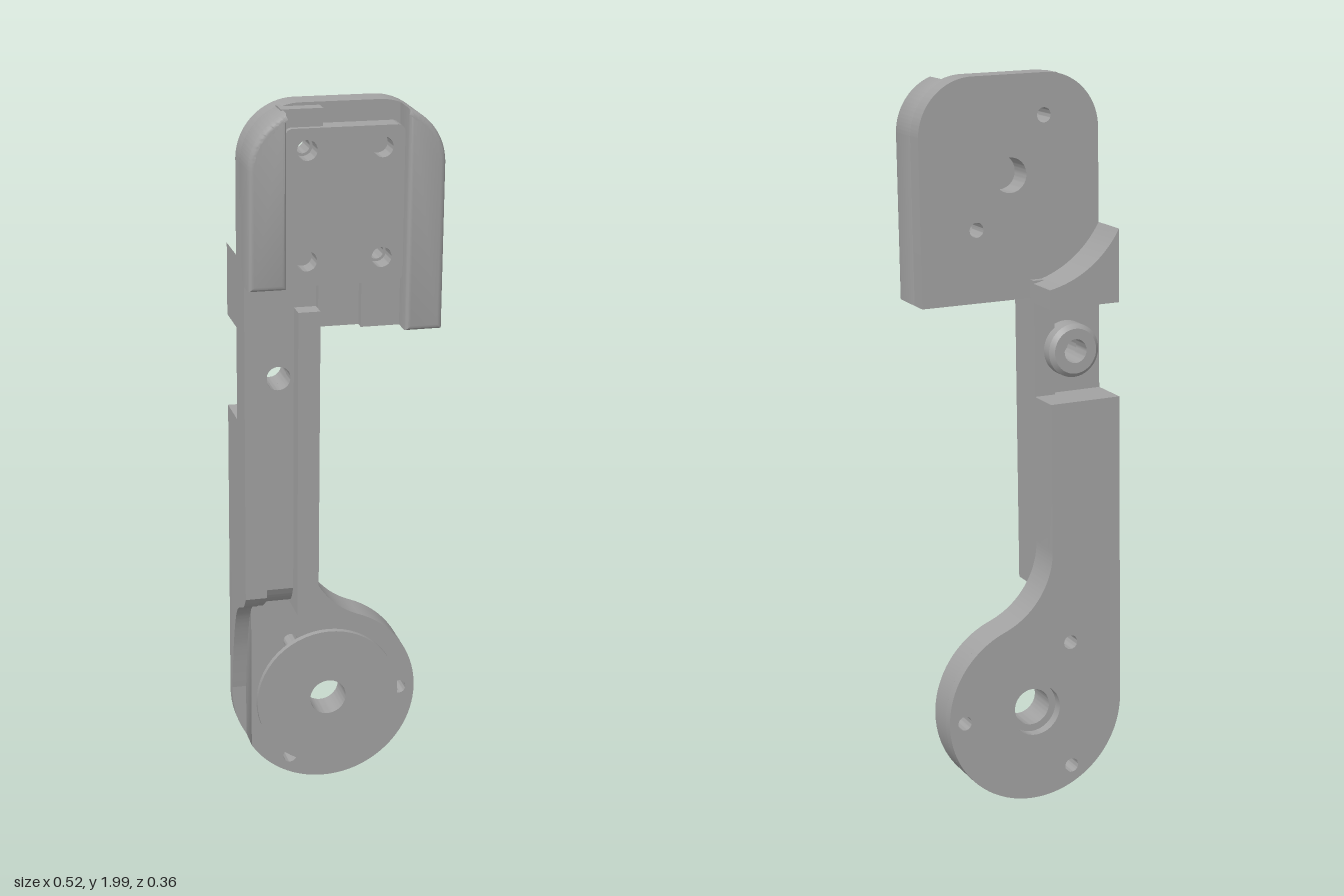
import * as THREE from 'three';
import { toCreasedNormals } from 'three/addons/utils/BufferGeometryUtils.js';

export function createModel() {
  const model = new THREE.Group();
  model.name = 'jointBracket';
  const body = new THREE.Group();
  body.name = 'tiltedBody';
  const grey = new THREE.MeshStandardMaterial({ color: 0xa2a2a2 });
  grey.name = 'plainGrey';

  const add = (name, geometry) => {
    const mesh = new THREE.Mesh(geometry, grey);
    mesh.name = name;
    body.add(mesh);
    return mesh;
  };
  const poly = (points) => new THREE.Shape(points.map(([x, y]) => new THREE.Vector2(x, y)));

  // Plate in the xy plane from z0 to z1, with round holes [x, y, r]
  const plate = (name, shape, z0, z1, holes = [], bevel = 0) => {
    for (const [x, y, r] of holes) {
      shape.holes.push(new THREE.Path().absarc(x, y, r, 0, Math.PI * 2, true));
    }
    const g = new THREE.ExtrudeGeometry(shape, {
      depth: z1 - z0 - 2 * bevel, curveSegments: 28, bevelEnabled: bevel > 0,
      bevelThickness: bevel, bevelSize: bevel, bevelOffset: -bevel, bevelSegments: 3,
    });
    g.translate(0, 0, z0 + bevel);
    return add(name, toCreasedNormals(g, 0.6));
  };
  const box = (name, x0, x1, y0, y1, z0, z1) => {
    const g = new THREE.BoxGeometry(x1 - x0, y1 - y0, z1 - z0);
    g.translate((x0 + x1) / 2, (y0 + y1) / 2, (z0 + z1) / 2);
    return add(name, g);
  };

  // Lower hub outline: round end, blended into the arm; edge is its outer x
  const hubY = 0.265, hubR = 0.26, blendR = 0.226, blendX = 0.171, blendY = 0.72;
  const hubShape = (edge, top) => {
    const s = new THREE.Shape();
    const a = Math.atan2(blendY - hubY, blendX);
    const end = Math.PI + Math.acos(-edge / hubR);
    s.moveTo(edge, top);
    s.lineTo(edge, hubY - Math.sqrt(Math.max(0, hubR * hubR - edge * edge)));
    s.absarc(0, hubY, hubR, end, a + Math.PI * 2, false);
    s.absarc(blendX, blendY, blendR, a + Math.PI, Math.PI, true);
    s.lineTo(-0.055, top);
    return s;
  };
  const screwHoles = [[-0.107, 0.447, 0.02], [-0.107, 0.08, 0.02], [0.215, hubY, 0.02]];
  plate('hubBack', hubShape(-0.26, 1.13), -0.141, -0.112, [[0, hubY, 0.072], ...screwHoles]);
  plate('hubFront', hubShape(-0.22, 0.8), -0.112, -0.0375, [[0, hubY, 0.052], ...screwHoles]);
  const disc = new THREE.Shape().absarc(0, hubY, 0.206, 0, Math.PI * 2, false);
  plate('hubDisc', disc, -0.0375, -0.02, [[0, hubY, 0.052]]);

  // Arm: solid back, floor with a screw hole, side wall and rib
  box('armBack', -0.26, -0.055, 0.64, 1.13, -0.141, -0.02);
  plate('armFloor', poly([[-0.26, 0.64], [-0.055, 0.64], [-0.055, 1.54], [-0.26, 1.54]]),
    -0.02, 0.03, [[-0.157, 1.255, 0.033]]);
  box('armWall', -0.26, -0.2, 0.64, 1.54, 0.03, 0.081);
  box('armRib', -0.115, -0.055, 0.58, 1.45, -0.04, 0.081);

  // Curved foot running from the arm's front down to the hub's edge
  const foot = (name, x0, x1, z, points) => {
    const s = new THREE.Shape();
    s.moveTo(-z, 0.64);
    s.splineThru(points.map(([pz, py]) => new THREE.Vector2(-pz, py)));
    s.lineTo(0.112, 0.64);
    const g = new THREE.ExtrudeGeometry(s, { depth: x1 - x0, bevelEnabled: false, curveSegments: 16 });
    g.rotateY(Math.PI / 2);
    // shape x is -z, extrusion runs along x
    g.translate(x0, 0, 0);
    add(name, toCreasedNormals(g, 0.6));
  };
  foot('armFootOuter', -0.26, -0.22, 0.081,
    [[0.05, 0.605], [-0.0375, 0.555], [-0.085, 0.44], [-0.112, 0.28]]);
  foot('armFootWall', -0.22, -0.2, 0.081, [[0.05, 0.61], [0.0, 0.585], [-0.112, 0.575]]);
  foot('armFootChannel', -0.2, -0.115, 0.03, [[0.01, 0.605], [-0.02, 0.585], [-0.112, 0.575]]);

  // Screw boss standing in the rear notch
  const bossProfile = [[0.033, -0.02], [0.033, -0.084], [0.062, -0.084], [0.074, -0.072], [0.074, -0.02]];
  const bossGeo = new THREE.LatheGeometry(
    bossProfile.map(([r, h]) => new THREE.Vector2(r, h)).reverse(), 40);
  bossGeo.rotateX(Math.PI / 2);
  bossGeo.translate(-0.157, 1.255, 0);
  const boss = add('screwBoss', toCreasedNormals(bossGeo, 0.5));
  boss.material = grey;
  grey.side = THREE.DoubleSide;

  // Rear stop with a concave top following the upper joint
  const jointY = 1.735, stopR = 0.298;
  const stop = new THREE.Shape();
  stop.moveTo(-0.26, 1.39);
  stop.lineTo(-0.055, 1.39);
  stop.absarc(0, jointY, stopR, -Math.PI / 2 - Math.asin(0.055 / stopR),
    -Math.PI / 2 - Math.asin(0.26 / stopR), true);
  plate('rearStop', stop, -0.141, -0.01);

  // Upper block: base slab with rounded top corners
  const r = 0.155;
  const base = new THREE.Shape();
  base.moveTo(-0.26, 1.53);
  base.lineTo(-0.055, 1.53);
  base.lineTo(-0.055, 1.4);
  base.lineTo(0.26, 1.4);
  base.lineTo(0.26, 2 - r);
  base.absarc(0.26 - r, 2 - r, r, 0, Math.PI / 2, false);
  base.absarc(-0.26 + r, 2 - r, r, Math.PI / 2, Math.PI, false);
  plate('blockBase', base, -0.02, 0.054,
    [[0, jointY, 0.047], [-0.1, 1.888, 0.02], [0.1, 1.597, 0.02]]);
  box('blockLowerLip', -0.26, -0.055, 1.4, 1.53, -0.02, 0.02);

  // Side cheeks that stand proud of the pocket
  const cheek = (side, bottom) => {
    const s = new THREE.Shape();
    const meet = Math.acos((0.16 - 0.26 + r) / r);
    if (side > 0) {
      s.moveTo(0.16, bottom);
      s.lineTo(0.26, bottom);
      s.absarc(0.26 - r, 2 - r, r, 0, meet, false);
    } else {
      s.moveTo(-0.26, bottom);
      s.lineTo(-0.16, bottom);
      s.absarc(-0.26 + r, 2 - r, r, Math.PI - meet, Math.PI, false);
    }
    return s;
  };
  plate('leftCheek', cheek(1, 1.4), 0.02, 0.145, [], 0.014);
  plate('rightCheek', cheek(-1, 1.53), 0.02, 0.145, [], 0.014);

  // Pocket shelves above and below the cover plate
  box('topShelf', -0.165, -0.055, 1.94, 1.992, 0.03, 0.094);
  box('bottomShelf', 0.055, 0.165, 1.4, 1.535, 0.03, 0.08);

  // Cover plate with rounded corners and four screw holes
  const c = 0.02, x1 = 0.158, y0 = 1.53, y1 = 1.945;
  const cover = new THREE.Shape();
  cover.absarc(x1 - c, y1 - c, c, 0, Math.PI / 2, false);
  cover.absarc(-x1 + c, y1 - c, c, Math.PI / 2, Math.PI, false);
  cover.absarc(-x1 + c, y0 + c, c, Math.PI, Math.PI * 1.5, false);
  cover.absarc(x1 - c, y0 + c, c, Math.PI * 1.5, Math.PI * 2, false);
  const coverHoles = [-0.1, 0.1].flatMap((x) => [1.597, 1.888].map((y) => [x, y, 0.027]));
  plate('coverPlate', cover, 0.054, 0.111, coverHoles);

  // Whole bracket leans slightly forward at the top
  body.position.set(0, 1, 0);
  body.rotation.x = 0.036;
  for (const mesh of body.children) mesh.position.y = -1;
  model.add(body);
  return model;
}
